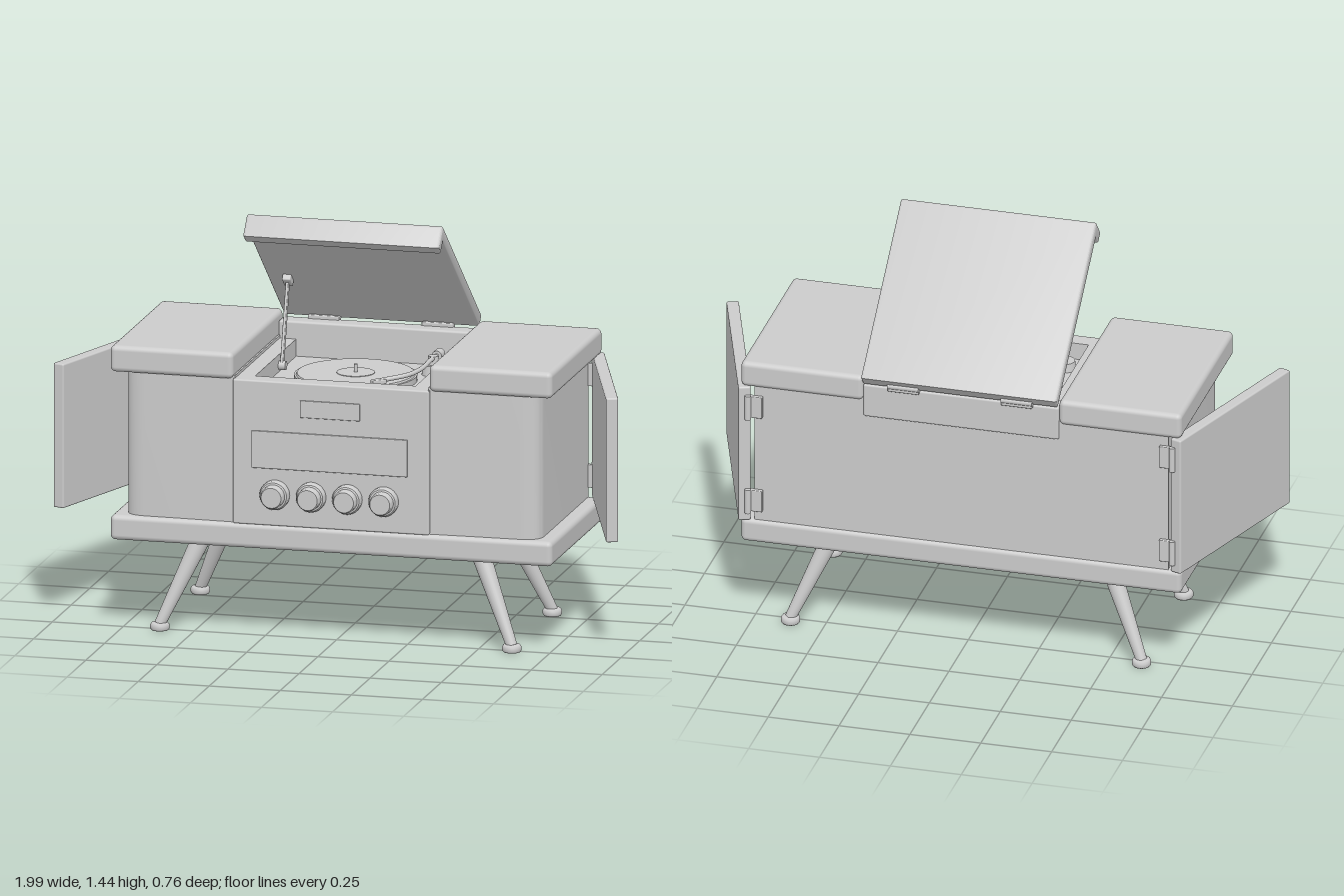
import * as THREE from 'three';
import { RoundedBoxGeometry } from 'three/addons/geometries/RoundedBoxGeometry.js';
import { toCreasedNormals } from 'three/addons/utils/BufferGeometryUtils.js';

const grey = new THREE.MeshStandardMaterial({ color: 0xcccccc });

export function createModel() {
  const model = new THREE.Group();
  model.name = 'recordPlayerCabinet';

  const add = (name, geometry, parent = model) => {
    const mesh = new THREE.Mesh(geometry, grey);
    mesh.name = name;
    parent.add(mesh);
    return mesh;
  };
  // Rounded box given by its limits on each axis
  const block = (name, [x0, x1], [y0, y1], [z0, z1], r = 0.004) => {
    const mesh = add(name, new RoundedBoxGeometry(x1 - x0, y1 - y0, z1 - z0, 3, r));
    mesh.position.set((x0 + x1) / 2, (y0 + y1) / 2, (z0 + z1) / 2);
    return mesh;
  };
  const disc = (name, x, y, z, rTop, rBottom, h) => {
    const mesh = add(name, new THREE.CylinderGeometry(rTop, rBottom, h, 40));
    mesh.position.set(x, y + h / 2, z);
    return mesh;
  };
  // Tapered rod between two points
  const rod = (name, from, to, rFrom, rTo) => {
    const a = new THREE.Vector3(...from), b = new THREE.Vector3(...to);
    const mesh = add(name, new THREE.CylinderGeometry(rTo, rFrom, a.distanceTo(b), 24));
    mesh.position.copy(a).lerp(b, 0.5);
    mesh.quaternion.setFromUnitVectors(new THREE.Vector3(0, 1, 0), b.clone().sub(a).normalize());
    return mesh;
  };
  const extrude = (shape, depth, bevel) => toCreasedNormals(new THREE.ExtrudeGeometry(shape, {
    depth: depth - 2 * bevel, bevelEnabled: bevel > 0, bevelSize: bevel, bevelThickness: bevel,
    bevelOffset: -bevel, bevelSegments: 3, curveSegments: 10,
  }).translate(0, 0, bevel), 0.6);
  const half = 0.345;

  // Cabinet
  block('baseSlab', [-0.777, 0.777], [0.32, 0.407], [-0.35, 0.33], 0.018);
  block('centreBody', [-half, half], [0.4, 0.85], [-0.34, 0.3]);
  block('frontPanel', [-half, half], [0.405, 0.91], [0.265, 0.328], 0.006);
  for (const s of [-1, 1]) {
    const side = new THREE.Shape();
    side.moveTo(s * 0.34, 0.34);
    side.lineTo(s * 0.73, 0.34);
    side.lineTo(s * 0.73, -0.25);
    side.quadraticCurveTo(s * 0.73, -0.305, s * 0.66, -0.31);
    side.lineTo(s * 0.34, -0.315);
    const body = add('sideBody', extrude(side, 0.53, 0));
    body.rotation.x = -Math.PI / 2;
    body.position.y = 0.39;
    const edges = [s * half, s * 0.777].sort((a, b) => a - b);
    block('topSlab', edges, [0.908, 1.0], [-0.35, 0.33], 0.018);
  }

  // Turntable well rim, with a raised rear rail
  const rim = new THREE.Shape();
  rim.moveTo(-half, -0.32);
  rim.lineTo(half, -0.32);
  rim.lineTo(half, 0.34);
  rim.lineTo(-half, 0.34);
  const opening = new THREE.Path();
  opening.moveTo(-0.282, -0.265);
  opening.lineTo(-0.282, 0.28);
  opening.lineTo(0.282, 0.28);
  opening.lineTo(0.282, -0.265);
  rim.holes.push(opening);
  const rimMesh = add('wellRim', extrude(rim, 0.07, 0));
  rimMesh.rotation.x = -Math.PI / 2;
  rimMesh.position.y = 0.84;
  block('rearRail', [-half, half], [0.85, 0.972], [-0.348, -0.28], 0.008);

  // Turntable
  disc('platter', 0, 0.85, -0.005, 0.21, 0.21, 0.02);
  disc('record', 0, 0.87, -0.005, 0.2, 0.203, 0.006);
  disc('recordLabel', 0, 0.876, -0.005, 0.065, 0.065, 0.002);
  disc('spindle', 0, 0.876, -0.005, 0.006, 0.006, 0.03);
  disc('speedKnob', -0.22, 0.85, 0.19, 0.034, 0.038, 0.03);
  disc('startButton', 0.205, 0.85, 0.185, 0.02, 0.02, 0.02);

  // Tonearm
  disc('tonearmBase', 0.235, 0.85, -0.15, 0.035, 0.04, 0.035);
  disc('tonearmPivot', 0.235, 0.885, -0.15, 0.018, 0.02, 0.03);
  const armPath = new THREE.CatmullRomCurve3([
    [0.237, 0.905, -0.2], [0.235, 0.908, -0.12], [0.235, 0.908, 0.02], [0.21, 0.905, 0.1], [0.13, 0.895, 0.16],
  ].map((p) => new THREE.Vector3(...p)));
  add('tonearm', new THREE.TubeGeometry(armPath, 32, 0.008, 12));
  const head = add('cartridge', new RoundedBoxGeometry(0.05, 0.016, 0.026, 2, 0.004));
  head.position.set(0.125, 0.892, 0.164);
  head.rotation.y = 0.64;
  const weight = rod('counterweight', [0.237, 0.905, -0.23], [0.237, 0.905, -0.185], 0.018, 0.018);
  weight.name = 'counterweight';

  // Front panel fittings
  block('namePlate', [-0.108, 0.103], [0.79, 0.85], [0.32, 0.334], 0.003);
  block('tuningDial', [-0.278, 0.27], [0.605, 0.735], [0.32, 0.335], 0.003);
  const knobProfile = [[0, 0], [0.051, 0], [0.051, 0.018], [0.046, 0.026], [0.04, 0.028], [0.039, 0.052], [0.035, 0.058], [0, 0.058]]
    .map(([r, y]) => new THREE.Vector2(r, y));
  for (let i = 0; i < 4; i++) {
    const knob = add('knob', toCreasedNormals(new THREE.LatheGeometry(knobProfile, 40), 0.6));
    knob.rotation.x = Math.PI / 2;
    knob.position.set(-0.195 + i * 0.1275, 0.515, 0.327);
  }

  // Open lid with a front lip, tilted about its rear edge
  const lid = new THREE.Group();
  lid.name = 'lid';
  lid.position.set(0, 1.01, -0.38);
  lid.rotation.x = -0.698;
  model.add(lid);
  const lidShape = new THREE.Shape();
  [[0, 0], [0, -0.042], [0.638, -0.042], [0.638, -0.087], [0.678, -0.087]].forEach(([u, v], i) =>
    i ? lidShape.lineTo(u, v) : lidShape.moveTo(u, v));
  lidShape.lineTo(0.678, -0.012);
  lidShape.quadraticCurveTo(0.678, 0, 0.666, 0);
  lidShape.lineTo(0, 0);
  const lidPanel = add('lidPanel', extrude(lidShape, 0.69, 0.008), lid);
  lidPanel.rotation.y = -Math.PI / 2;
  lidPanel.position.x = half;
  for (const x of [-0.2, 0.2]) {
    block('lidHingePlate', [x - 0.055, x + 0.055], [0.962, 0.985], [-0.362, -0.33], 0.004);
    rod('lidHingePin', [x - 0.055, 0.982, -0.357], [x + 0.055, 0.982, -0.357], 0.01, 0.01);
  }

  // Lid stay
  const stay = add('lidStay', new RoundedBoxGeometry(0.01, 0.31, 0.026, 2, 0.004));
  stay.position.set(-0.272, 1.012, -0.093);
  stay.rotation.x = -0.27;
  const bracket = add('stayBracket', new RoundedBoxGeometry(0.03, 0.03, 0.05, 2, 0.005));
  bracket.position.set(-0.272, 1.155, -0.132);
  bracket.rotation.x = -0.698;
  rod('stayPivot', [-0.29, 0.872, -0.055], [-0.258, 0.872, -0.055], 0.016, 0.016);

  for (const s of [-1, 1]) {
    // Swung-open side doors and hinges
    const door = add('sideDoor', new RoundedBoxGeometry(0.042, 0.505, 0.662, 3, 0.006));
    door.position.set(s * 0.867, 0.658, -0.045);
    door.rotation.y = s * 0.33;
    for (const y of [0.48, 0.835]) {
      disc('doorHingePin', s * 0.748, y - 0.045, -0.358, 0.011, 0.011, 0.09);
      const plates = [s * 0.7, s * 0.76].sort((a, b) => a - b);
      block('doorHingePlate', plates, [y - 0.04, y + 0.04], [-0.354, -0.335], 0.003);
    }
    // Splayed legs with feet
    for (const t of [-1, 1]) {
      rod('leg', [s * 0.619, 0.02, t * 0.27 - 0.01], [s * 0.482, 0.335, t * 0.19 - 0.01], 0.019, 0.034);
      const foot = add('foot', new THREE.LatheGeometry(
        [[0, 0], [0.029, 0], [0.033, 0.006], [0.033, 0.018], [0.028, 0.025], [0, 0.028]]
          .map(([r, y]) => new THREE.Vector2(r, y)), 28));
      foot.position.set(s * 0.619, 0, t * 0.27 - 0.01);
    }
  }
  return model;
}
